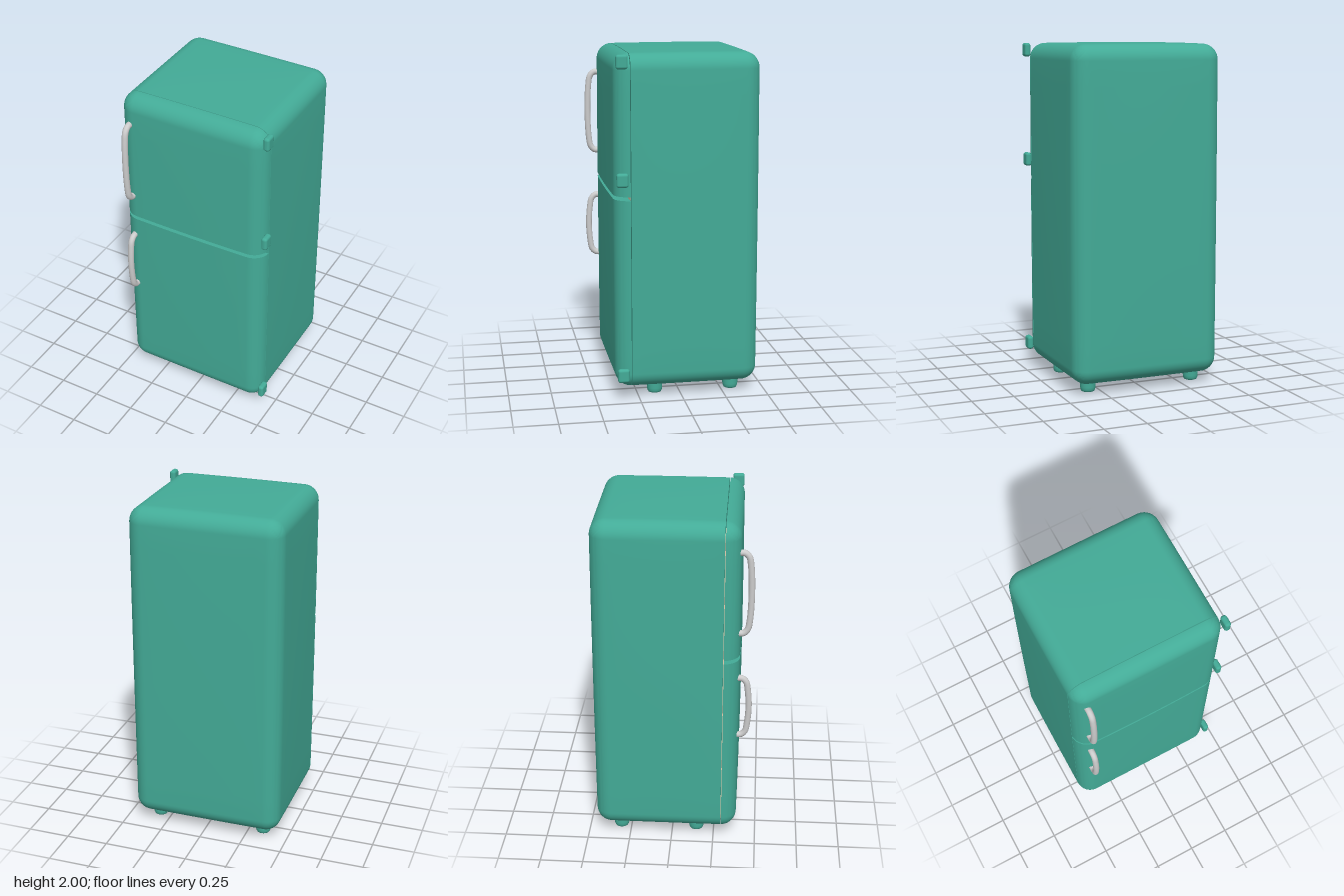
import * as THREE from 'three';
import { toCreasedNormals } from 'three/addons/utils/BufferGeometryUtils.js';
import { RoundedBoxGeometry } from 'three/addons/geometries/RoundedBoxGeometry.js';

const HALF = [0.452, 0.966, 0.418];
const CENTRE = [-0.01, 1.029, -0.035];
const RADIUS = 0.09;
const BULGE = 0.008;
const CORNER = 7, FLAT = 12;
const SEGMENTS = 2 * CORNER + FLAT;

// One pillow-sided rounded cabinet block, flattened against the given limits,
// so that the cabinet and both doors share a continuous outer skin.
function cabinetSlice({ yMin = -9, yMax = 9, zMin = -9, zMax = 9 }) {
  const geo = new THREE.BoxGeometry(2, 2, 2, SEGMENTS, SEGMENTS, SEGMENTS);
  const pos = geo.attributes.position;
  const spread = (u, half) => {
    const i = Math.round((u + 1) / 2 * SEGMENTS);
    const core = half - RADIUS;
    const corner = (k) => core + RADIUS * Math.tan(k / CORNER * Math.PI / 4);
    if (i < CORNER) return -corner(CORNER - i);
    if (i > SEGMENTS - CORNER) return corner(i - SEGMENTS + CORNER);
    return core * (2 * (i - CORNER) / FLAT - 1);
  };
  const d = new THREE.Vector3();
  for (let i = 0; i < pos.count; i++) {
    const raw = [pos.getX(i), pos.getY(i), pos.getZ(i)].map((u, a) => spread(u, HALF[a]));
    const core = raw.map((v, a) => THREE.MathUtils.clamp(v, RADIUS - HALF[a], HALF[a] - RADIUS));
    d.set(raw[0] - core[0], raw[1] - core[1], raw[2] - core[2]).setLength(RADIUS);
    const p = [core[0] + d.x, core[1] + d.y, core[2] + d.z];
    p[1] = THREE.MathUtils.clamp(p[1], yMin - CENTRE[1], yMax - CENTRE[1]);
    p[2] = THREE.MathUtils.clamp(p[2], zMin - CENTRE[2], zMax - CENTRE[2]);
    // gentle crown on every outer face; cut planes stay flat
    const t = p.map((v, a) => v / HALF[a]);
    const crown = (a, b) => BULGE * (1 - t[a] ** 2) * (1 - t[b] ** 2);
    const q = [
      p[0] + t[0] * crown(1, 2),
      p[1] + t[1] * crown(0, 2),
      p[2] + t[2] * crown(0, 1),
    ].map((v, a) => v + CENTRE[a]);
    pos.setXYZ(i, q[0],
      THREE.MathUtils.clamp(q[1], yMin, yMax),
      THREE.MathUtils.clamp(q[2], zMin, zMax));
  }
  return toCreasedNormals(geo, 0.6);
}

export function createModel() {
  const model = new THREE.Group();
  model.name = 'refrigerator';
  const enamel = new THREE.MeshStandardMaterial({ color: 0x43ab97 });
  const cream = new THREE.MeshStandardMaterial({ color: 0xe8d0b0 });
  const metal = new THREE.MeshStandardMaterial({ color: 0xcccccc });

  const add = (name, geometry, material, x = 0, y = 0, z = 0) => {
    const mesh = new THREE.Mesh(geometry, material);
    mesh.name = name;
    mesh.position.set(x, y, z);
    model.add(mesh);
  };

  // cabinet and the two doors
  add('cabinet', cabinetSlice({ zMax: 0.293 }), enamel);
  add('freezerDoor', cabinetSlice({ zMin: 0.297, yMin: 1.197 }), enamel);
  add('fridgeDoor', cabinetSlice({ zMin: 0.297, yMax: 1.175 }), enamel);

  // pale inner panel, visible through the gap between the doors
  add('innerPanel', new THREE.BoxGeometry(0.84, 1.8, 0.02), cream, -0.01, 1.03, 0.2865);

  // hinges on the left edge
  const hingeGeo = new RoundedBoxGeometry(0.036, 0.08, 0.068, 4, 0.015);
  for (const y of [1.955, 1.295, 0.152]) add('hinge', hingeGeo, enamel, 0.452, y, 0.345);

  // bowed handles
  const handle = (name, bottom, top) => {
    const r = 0.018, lo = bottom + r, hi = top - r, mid = (lo + hi) / 2;
    const path = new THREE.CatmullRomCurve3([
      [lo, 0.375], [lo + 0.002, 0.402], [lo + 0.025, 0.425], [lo + 0.08, 0.436],
      [mid, 0.443],
      [hi - 0.08, 0.436], [hi - 0.025, 0.425], [hi - 0.002, 0.402], [hi, 0.375],
    ].map(([y, z]) => new THREE.Vector3(-0.392, y, z)));
    add(name, new THREE.TubeGeometry(path, 64, r, 16), metal);
  };
  handle('freezerHandle', 1.32, 1.84);
  handle('fridgeHandle', 0.67, 1.075);

  // rounded feet
  const footGeo = new THREE.LatheGeometry([
    [0, 0], [0.028, 0], [0.038, 0.004], [0.043, 0.014], [0.045, 0.03], [0.045, 0.075],
  ].map(([x, y]) => new THREE.Vector2(x, y)), 24);
  for (const x of [-0.34, 0.32]) {
    for (const z of [0.145, -0.31]) add('foot', footGeo, enamel, x, 0, z);
  }
  return model;
}
